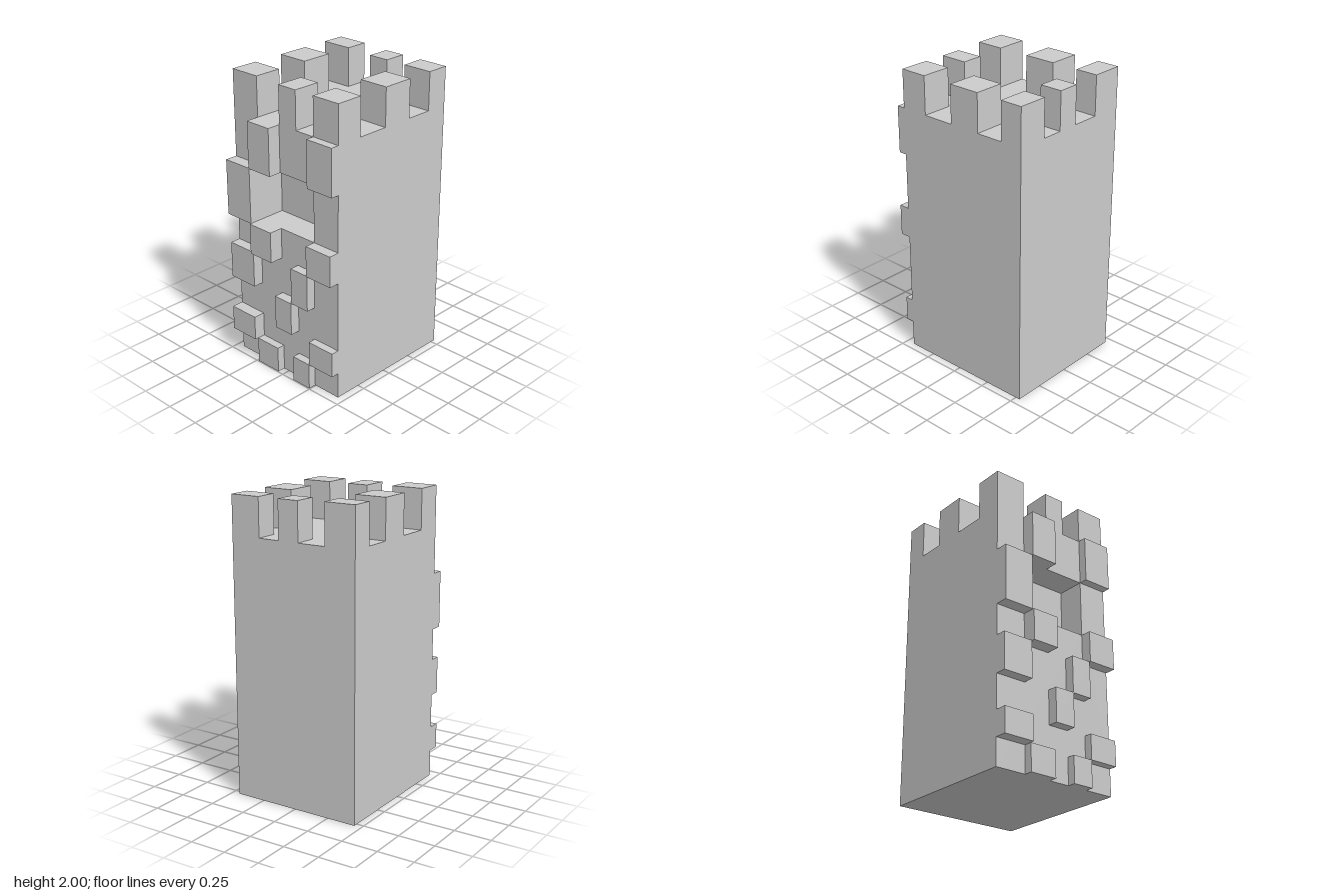
import * as THREE from 'three';

const material = new THREE.MeshStandardMaterial({ color: 0xcccccc, flatShading: true });

// Shared grid lines: bays across x and z, stone courses up y
const BAYS_X = [-0.44, -0.25, -0.03, 0.19, 0.375, 0.53];
const BAYS_Z = [-0.45, -0.235, -0.045, 0.1, 0.245, 0.45];
const COURSES = [0, 0.18, 0.35, 0.58, 0.83, 1.04, 1.42, 1.735];
const WALL_X = BAYS_X[0], NICHE_X = BAYS_X[1];
const ROOF = COURSES[7];

// Box given by its lower and upper bounds
function block(name, [x0, x1], [y0, y1], [z0, z1]) {
  const geometry = new THREE.BoxGeometry(x1 - x0, y1 - y0, z1 - z0);
  geometry.translate((x0 + x1) / 2, (y0 + y1) / 2, (z0 + z1) / 2);
  const mesh = new THREE.Mesh(geometry, material);
  mesh.name = name;
  return mesh;
}

function rectangle(path, x0, y0, x1, y1) {
  path.moveTo(x0, y0);
  path.lineTo(x1, y0);
  path.lineTo(x1, y1);
  path.lineTo(x0, y1);
  path.closePath();
  return path;
}

export function createModel() {
  const tower = new THREE.Group();
  tower.name = 'tower';

  // Solid core, whose side closes the back of the niche
  tower.add(block('towerCore', [NICHE_X, BAYS_X[5]], [0, ROOF], [BAYS_Z[0], BAYS_Z[5]]));

  // Outer wall layer with a wide niche cut through it
  const wallShape = rectangle(new THREE.Shape(), BAYS_Z[0], 0, BAYS_Z[5], ROOF);
  wallShape.holes.push(rectangle(new THREE.Path(), BAYS_Z[1], COURSES[5], BAYS_Z[4], COURSES[6]));
  const wallGeometry = new THREE.ExtrudeGeometry(wallShape, { depth: NICHE_X - WALL_X, bevelEnabled: false });
  wallGeometry.rotateY(-Math.PI / 2).translate(NICHE_X, 0, 0);
  const wall = new THREE.Mesh(wallGeometry, material);
  wall.name = 'nicheWall';
  tower.add(wall);

  // Battlements: a ring of merlons, the back row slightly taller
  const battlements = new THREE.Group();
  battlements.name = 'battlements';
  for (let i = 0; i < 5; i += 2) {
    for (let k = 0; k < 5; k += 2) {
      if (i === 2 && k === 2) continue;
      const top = k === 0 ? 2 : 1.99;
      battlements.add(block('merlon', [BAYS_X[i], BAYS_X[i + 1]], [ROOF, top], [BAYS_Z[k], BAYS_Z[k + 1]]));
    }
  }
  tower.add(battlements);

  // Projecting stones: course, bay, outer x
  const stones = new THREE.Group();
  stones.name = 'projectingStones';
  [
    [0, 1, -0.495], [0, 3, -0.495],
    [1, 0, -0.52], [1, 4, -0.495],
    [2, 2, -0.508],
    [3, 0, -0.513], [3, 3, -0.505],
    [4, 1, -0.535], [4, 4, -0.513],
    [5, 0, -0.525],
    [6, 1, -0.53], [6, 4, -0.497],
  ].forEach(([row, bay, x]) => {
    stones.add(block('projectingStone', [x, WALL_X],
      [COURSES[row], COURSES[row + 1]], [BAYS_Z[bay], BAYS_Z[bay + 1]]));
  });
  tower.add(stones);

  return tower;
}
